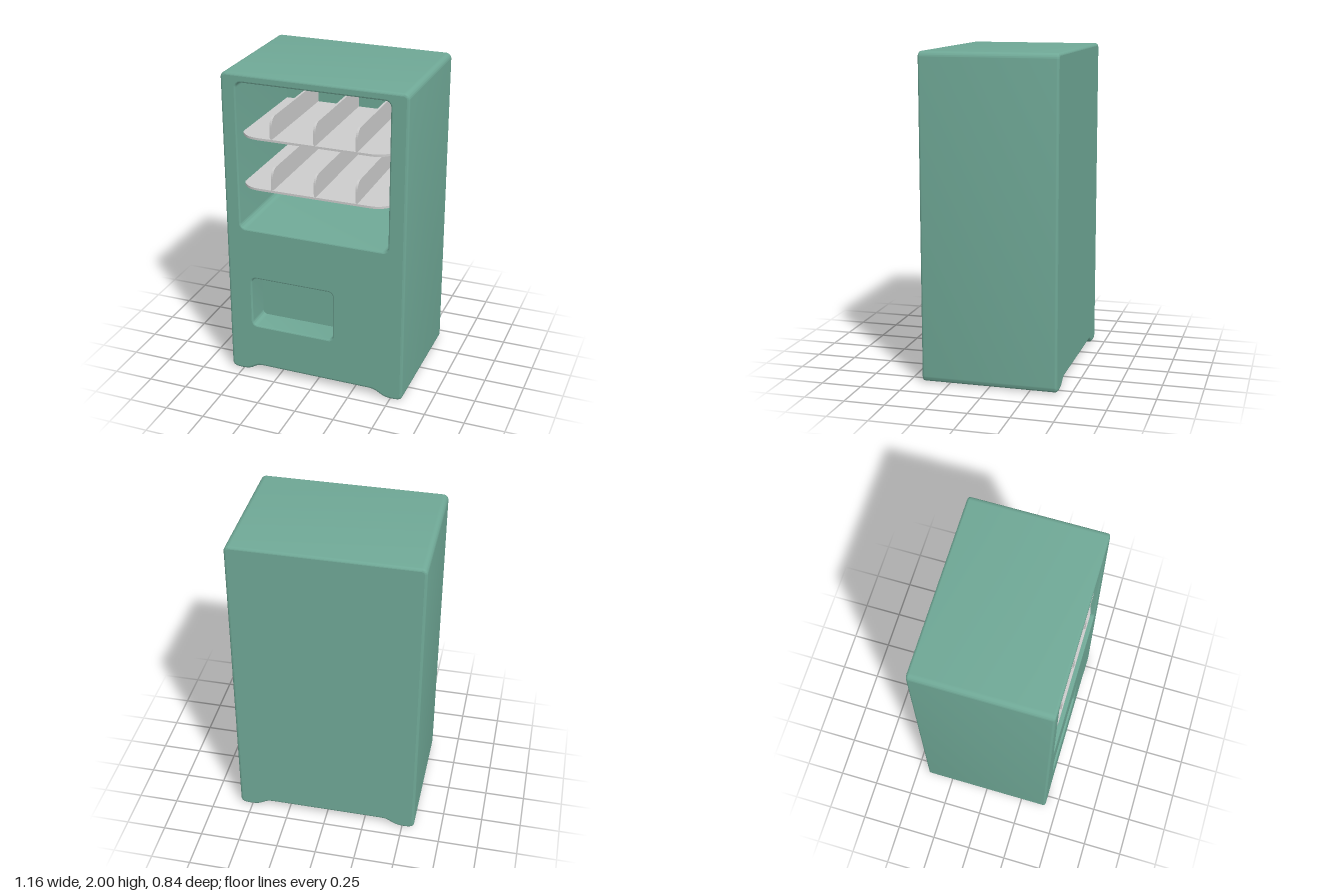
import * as THREE from 'three';
import { mergeGeometries, toCreasedNormals } from 'three/addons/utils/BufferGeometryUtils.js';

const HALF_W = 0.578, FRONT = 0.42, BACK_WALL = -0.33;
const green = new THREE.MeshStandardMaterial({ color: 0x6fa896 });
const grey = new THREE.MeshStandardMaterial({ color: 0xcccccc });

// Points of a closed shape without repeated neighbours
function loopOf(shape) {
  const pts = shape.getPoints(8);
  return pts.filter((p, i) => p.distanceTo(pts[(i + 1) % pts.length]) > 1e-5);
}

// Move a loop against its outward normals
function inset(loop, amount) {
  const n = loop.length;
  return loop.map((p, i) => {
    const a = p.clone().sub(loop[(i + n - 1) % n]).normalize();
    const b = loop[(i + 1) % n].clone().sub(p).normalize();
    const normal = new THREE.Vector2(a.y + b.y, -a.x - b.x).normalize();
    return p.clone().addScaledVector(normal, -amount);
  });
}

// Wall through rows of [inset, z], from front to back
function wall(loop, rows) {
  const pos = [], index = [], n = loop.length;
  for (const [amount, z] of rows) {
    for (const p of inset(loop, amount)) pos.push(p.x, p.y, z);
  }
  for (let j = 0; j < rows.length - 1; j++) {
    for (let i = 0; i < n; i++) {
      const a = j * n + i, c = j * n + (i + 1) % n;
      index.push(a, a + n, c, c, a + n, c + n);
    }
  }
  const geo = new THREE.BufferGeometry();
  geo.setAttribute('position', new THREE.Float32BufferAttribute(pos, 3));
  geo.setIndex(index);
  return toCreasedNormals(geo, 0.7);
}

// Flat face filling a loop, facing +z
function cap(loop, z, holes = []) {
  const shape = new THREE.Shape(loop);
  shape.holes = holes.map((h) => new THREE.Path(h));
  const geo = new THREE.ShapeGeometry(shape).toNonIndexed();
  geo.deleteAttribute('uv');
  return geo.translate(0, 0, z);
}

// Quarter-round rows: a front edge narrowing forwards, or a back edge narrowing backwards
function roundRows(r, z, back) {
  const rows = [];
  for (let i = 0; i <= 4; i++) {
    const t = (i / 4) * Math.PI / 2;
    rows.push(back ? [r * (1 - Math.cos(t)), z + r * (1 - Math.sin(t))]
      : [r * (1 - Math.sin(t)), z - r * (1 - Math.cos(t))]);
  }
  return rows;
}

function roundedRect(x0, x1, y0, y1, r) {
  const s = new THREE.Shape();
  s.absarc(x1 - r, y0 + r, r, -Math.PI / 2, 0);
  s.absarc(x1 - r, y1 - r, r, 0, Math.PI / 2);
  s.absarc(x0 + r, y1 - r, r, Math.PI / 2, Math.PI);
  s.absarc(x0 + r, y0 + r, r, Math.PI, Math.PI * 1.5);
  return loopOf(s);
}

// Cabinet outline: rounded top corners, two soft feet with a shallow arch between
function cabinetOutline() {
  const w = HALF_W, r = 0.035, s = new THREE.Shape();
  s.moveTo(-0.36, 0.045);
  s.lineTo(0.36, 0.045);
  s.bezierCurveTo(0.43, 0.045, 0.42, 0, 0.51, 0);
  s.bezierCurveTo(0.56, 0, w, 0.01, w, 0.04);
  s.lineTo(w, 2 - r);
  s.absarc(w - r, 2 - r, r, 0, Math.PI / 2);
  s.absarc(-w + r, 2 - r, r, Math.PI / 2, Math.PI);
  s.lineTo(-w, 0.04);
  s.bezierCurveTo(-w, 0.01, -0.56, 0, -0.51, 0);
  s.bezierCurveTo(-0.42, 0, -0.43, 0.045, -0.36, 0.045);
  return loopOf(s);
}

function cabinetGeometry() {
  const edge = 0.016, lip = 0.01, outline = cabinetOutline();
  const parts = [wall(outline, [...roundRows(edge, FRONT, false), ...roundRows(edge, -FRONT, true)])];
  const pockets = [
    { loop: roundedRect(-0.483, 0.47, 1.01, 1.945, 0.035), back: BACK_WALL }, // display window
    { loop: roundedRect(-0.42, 0.12, 0.34, 0.675, 0.03), back: 0.26 },        // pick-up tray
  ];
  const holes = pockets.map(({ loop, back }) => {
    const inner = loop.slice().reverse();
    parts.push(wall(inner, [...roundRows(lip, FRONT, false), [0, back]]), cap(inner, back));
    return inset(inner, lip);
  });
  const face = inset(outline, edge);
  parts.push(cap(face, FRONT, holes), cap(face, FRONT).rotateY(Math.PI));
  return mergeGeometries(parts);
}

// Shelf plate with softly cut front corners
function shelfGeometry() {
  const s = new THREE.Shape(), x0 = -0.484, x1 = 0.471;
  s.moveTo(x0, BACK_WALL);
  s.lineTo(x1, BACK_WALL);
  s.lineTo(x1, 0.31);
  s.quadraticCurveTo(x1, 0.35, x1 - 0.05, 0.385);
  s.quadraticCurveTo(x1 - 0.08, 0.405, x1 - 0.13, 0.405);
  s.lineTo(x0 + 0.13, 0.405);
  s.quadraticCurveTo(x0 + 0.08, 0.405, x0 + 0.05, 0.385);
  s.quadraticCurveTo(x0, 0.35, x0, 0.31);
  return new THREE.ExtrudeGeometry(s, { depth: 0.014, bevelEnabled: false, curveSegments: 6 }).rotateX(Math.PI / 2);
}

// Upright divider, rounded at its top front corner
function dividerGeometry() {
  const s = new THREE.Shape(), h = 0.135, front = 0.4, r = 0.06, t = 0.014;
  s.moveTo(BACK_WALL, -0.005);
  s.lineTo(front, -0.005);
  s.lineTo(front, h - r);
  s.quadraticCurveTo(front, h, front - r, h);
  s.lineTo(BACK_WALL, h);
  return new THREE.ExtrudeGeometry(s, { depth: t, bevelEnabled: false, curveSegments: 8 })
    .translate(0, 0, -t / 2).rotateY(-Math.PI / 2);
}

export function createModel() {
  const model = new THREE.Group();
  const add = (parent, name, geometry, material) => {
    const mesh = new THREE.Mesh(geometry, material);
    mesh.name = name;
    parent.add(mesh);
    return mesh;
  };
  add(model, 'cabinet', cabinetGeometry(), green);

  // Two shelves, each with three dividers
  const plate = shelfGeometry(), divider = dividerGeometry();
  [1.287, 1.612].forEach((y, i) => {
    const shelf = new THREE.Group();
    shelf.name = i ? 'upperShelf' : 'lowerShelf';
    shelf.position.y = y;
    add(shelf, 'shelfPlate', plate, grey);
    for (const x of [-0.272, 0.003, 0.264]) add(shelf, 'divider', divider, grey).position.x = x;
    model.add(shelf);
  });
  return model;
}
